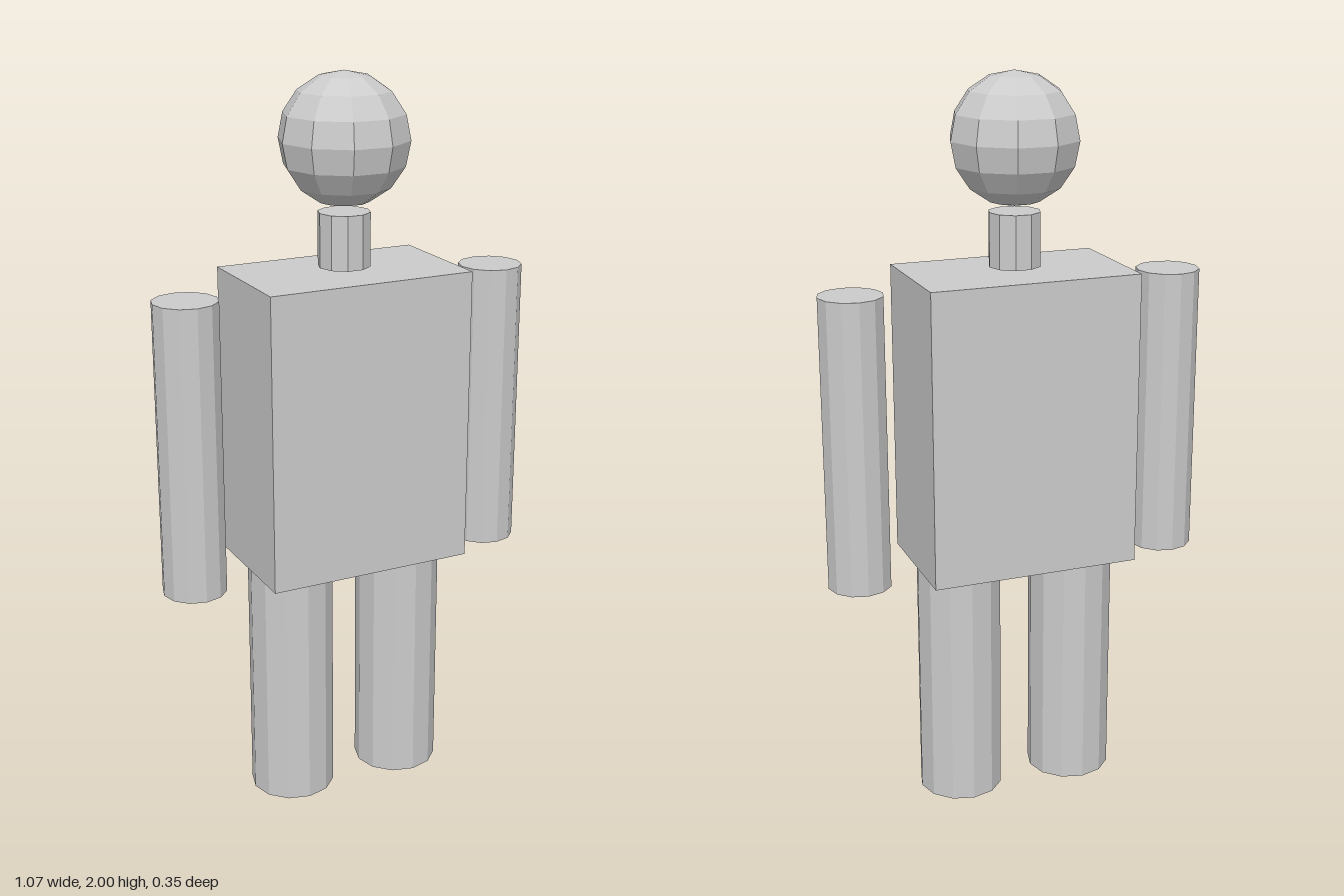
import * as THREE from 'three';

const material = new THREE.MeshStandardMaterial({ color: 0xcccccc, flatShading: true });

export function createModel() {
  const model = new THREE.Group();

  function add(name, geometry, x, y) {
    const mesh = new THREE.Mesh(geometry, material);
    mesh.name = name;
    mesh.position.set(x, y, 0);
    model.add(mesh);
  }

  // Upright prism from bottom to top, with a corner on the x axis
  function post(name, radius, bottom, top, sides, x) {
    const geometry = new THREE.CylinderGeometry(radius, radius, top - bottom, sides, 1, false, Math.PI / 2);
    add(name, geometry, x, (bottom + top) / 2);
  }

  // Head, neck and torso
  add('head', new THREE.SphereGeometry(0.173, 10, 8), 0, 1.827);
  post('neck', 0.07, 1.497, 1.641, 10, 0);
  add('torso', new THREE.BoxGeometry(0.576, 0.804, 0.346), 0, 1.085);

  // Limbs, mirrored left (+x) and right (-x)
  for (const [side, s] of [['left', 1], ['right', -1]]) {
    post(side + 'Arm', 0.087, 0.655, 1.455, 12, s * 0.447);
    post(side + 'Leg', 0.117, 0, 0.683, 12, s * 0.166);
  }

  return model;
}
